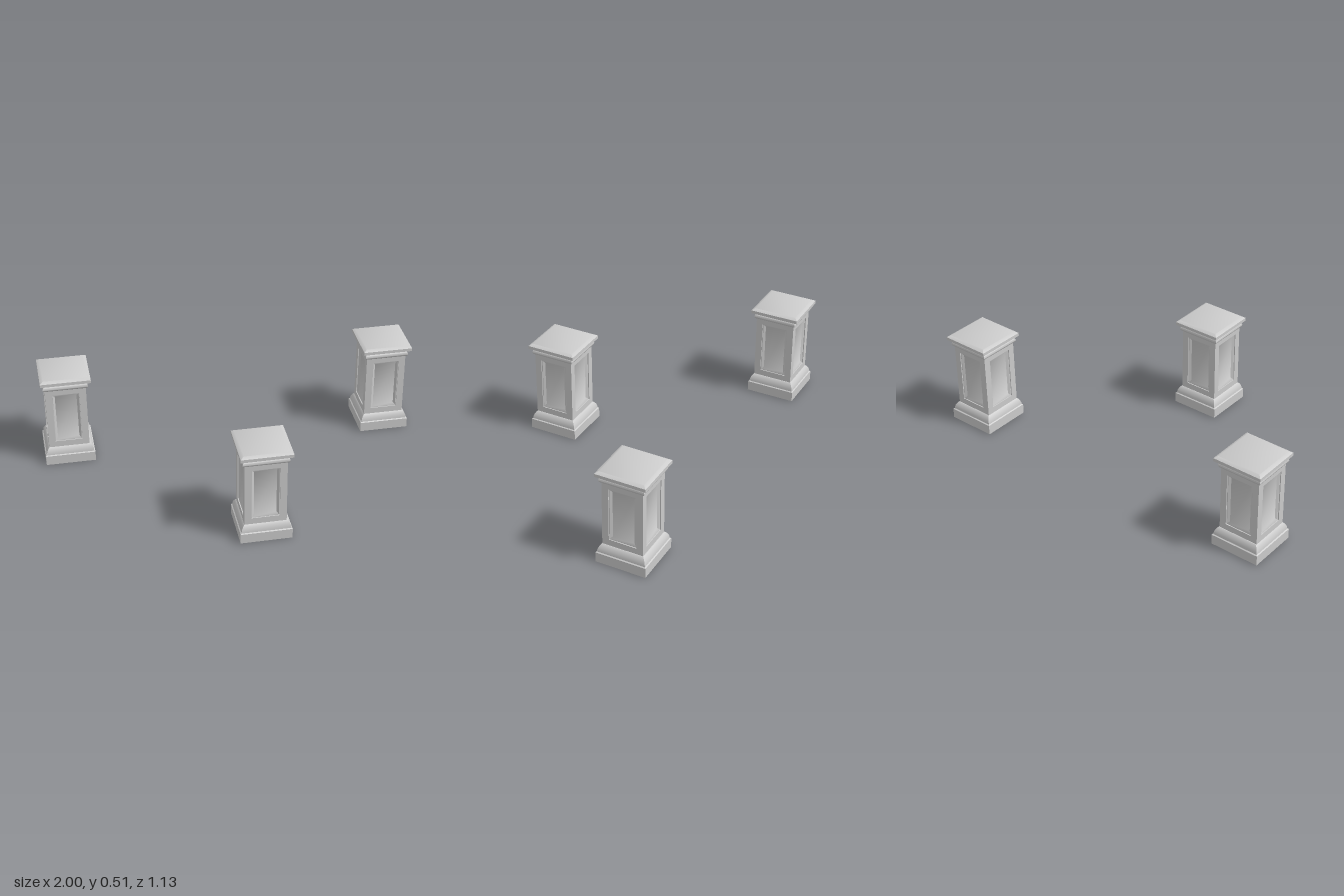
import * as THREE from 'three';
import { toCreasedNormals, mergeGeometries } from 'three/addons/utils/BufferGeometryUtils.js';

const material = new THREE.MeshStandardMaterial({ color: 0xcccccc });

// Skin rectangular rings [halfWidth, halfHeight, z]; the last ring is always closed
function loft(rings, closeStart) {
  const pos = [], index = [];
  for (const [w, h, z] of rings) pos.push(-w, -h, z, w, -h, z, w, h, z, -w, h, z);
  for (let r = 0; r < rings.length - 1; r++) {
    for (let i = 0; i < 4; i++) {
      const a = r * 4 + i, b = r * 4 + (i + 1) % 4;
      index.push(a, b, b + 4, a, b + 4, a + 4);
    }
  }
  const e = (rings.length - 1) * 4;
  index.push(e, e + 1, e + 2, e, e + 2, e + 3);
  if (closeStart) index.push(0, 2, 1, 0, 3, 2);
  const g = new THREE.BufferGeometry();
  g.setAttribute('position', new THREE.Float32BufferAttribute(pos, 3));
  g.setIndex(index);
  return toCreasedNormals(g, 0.6);
}

// Square moulding from a profile of [halfWidth, y]
const moulding = (profile) =>
  loft(profile.map(([w, y]) => [w, w, y]), true).rotateX(-Math.PI / 2);

// Shaft: four faces, each with a stepped and bevelled sunken panel
function shaftGeometry() {
  const half = 0.1075, sides = [];
  for (let i = 0; i < 4; i++) {
    sides.push(loft([
      [half, 0.1795, half],
      [0.0725, 0.1435, half],
      [0.0725, 0.1435, half - 0.005],
      [0.068, 0.139, half - 0.005],
      [0.057, 0.127, half - 0.013],
    ], false).rotateY(i * Math.PI / 2));
  }
  return mergeGeometries(sides).translate(0, 0.2745, 0);
}

// Half-round collar profile
function collarProfile() {
  const pts = [];
  for (let i = 0; i <= 8; i++) {
    const a = -Math.PI / 2 + i * Math.PI / 8;
    pts.push([0.104 + 0.0145 * Math.cos(a), 0.461 + 0.0155 * Math.sin(a)]);
  }
  return pts;
}

export function createModel() {
  const parts = {
    // Plinth with a rounded shoulder
    base: moulding([
      [0.1325, 0], [0.1325, 0.053], [0.127, 0.057], [0.126, 0.066], [0.123, 0.077],
      [0.118, 0.087], [0.112, 0.095], [0.108, 0.098], [0.1, 0.098],
    ]),
    shaft: shaftGeometry(),
    collar: moulding(collarProfile()),
    // Slab with chamfered upper and lower edges
    cap: moulding([
      [0.11, 0.474], [0.11, 0.478], [0.119, 0.48], [0.1325, 0.486],
      [0.1325, 0.503], [0.116, 0.513],
    ]),
  };

  const model = new THREE.Group();
  model.name = 'pedestals';
  const places = [
    ['rearRightPedestal', -0.8675, -0.4325],
    ['rearLeftPedestal', 0.8675, -0.4325],
    ['frontPedestal', 0.025, 0.4325],
  ];
  for (const [name, x, z] of places) {
    const pedestal = new THREE.Group();
    pedestal.name = name;
    pedestal.position.set(x, 0, z);
    for (const [part, geometry] of Object.entries(parts)) {
      const mesh = new THREE.Mesh(geometry, material);
      mesh.name = part;
      pedestal.add(mesh);
    }
    // The shaft and collar sit very slightly off the plinth's centre
    for (const part of ['shaft', 'collar']) {
      pedestal.getObjectByName(part).position.set(-0.002, 0, 0.002);
    }
    model.add(pedestal);
  }
  return model;
}
